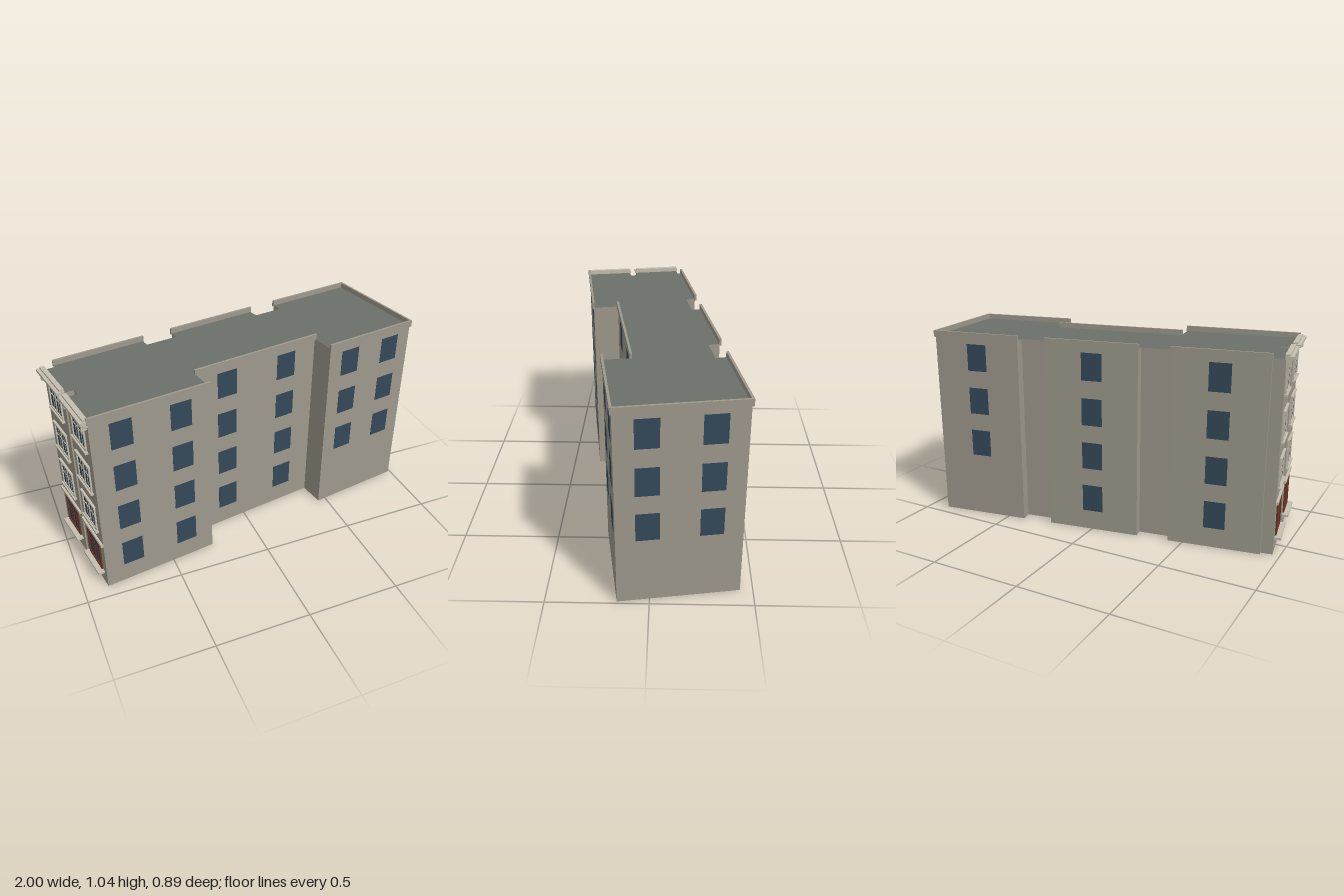
import * as THREE from 'three';

const mat = (color) => new THREE.MeshStandardMaterial({ color });
const WALL = mat(0x9e998c), ROOF = mat(0x6b706a), GLASS = mat(0x34495a);
const STONE = mat(0xc4beae), TIMBER = mat(0x6b3527), FRAME = mat(0xb9b4a6);

// Footprint corners [x, z], running along the front first
const PLAN = [
  [-0.875, 0.43], [-0.265, 0.345], [-0.285, 0.21], [0.43, 0.1], [0.452, 0.238], [0.988, 0.155],
  [0.893, -0.437], [0.406, -0.36], [0.417, -0.303], [0.259, -0.278], [0.243, -0.333],
  [-0.252, -0.252], [-0.245, -0.203], [-0.413, -0.177], [-0.424, -0.225], [-0.905, -0.147],
  [-0.902, -0.128], [-0.962, -0.118], [-0.918, 0.137], [-0.866, 0.128], [-0.858, 0.168], [-0.915, 0.178],
];
const ROOF_Y = 1.017, TOP = 1.045;
const ROWS = [0.18, 0.4225, 0.665, 0.9075]; // window centre heights

// Box spanning x0..x1, y0..y1, z0..z1
function box(parent, name, material, x0, x1, y0, y1, z0, z1) {
  const m = new THREE.Mesh(new THREE.BoxGeometry(x1 - x0, y1 - y0, z1 - z0), material);
  m.position.set((x0 + x1) / 2, (y0 + y1) / 2, (z0 + z1) / 2);
  m.name = name;
  parent.add(m);
  return m;
}

// Group on wall i: x runs along the wall, z points outward
function wallFrame(root, i, name) {
  const [ax, az] = PLAN[i], [bx, bz] = PLAN[(i + 1) % PLAN.length];
  const g = new THREE.Group();
  g.name = name;
  g.position.set(ax, 0, az);
  g.rotation.y = Math.atan2(-(bz - az), bx - ax);
  root.add(g);
  return [g, Math.hypot(bx - ax, bz - az)];
}

// Four-sided surround around an opening
function surround(g, name, material, x0, x1, y0, y1, t, depth) {
  box(g, name, material, x0 - t, x0, y0, y1, 0, depth);
  box(g, name, material, x1, x1 + t, y0, y1, 0, depth);
  box(g, name, material, x0 - t, x1 + t, y1, y1 + t, 0, depth);
  box(g, name, material, x0 - t, x1 + t, y0 - t, y0, 0, depth);
}

// Street facade: one ornate window per storey, string course and cornice
function streetFacade(root, i) {
  const [g, len] = wallFrame(root, i, 'streetFacade');
  const c = len / 2, hw = 0.07;
  ROWS.forEach((y, row) => {
    const ground = row === 0;
    const y0 = ground ? 0.095 : y - 0.065, y1 = ground ? 0.25 : y + 0.065;
    box(g, 'streetWindow', GLASS, c - hw, c + hw, y0, y1, -0.002, 0.002);
    surround(g, 'windowSurround', ground ? TIMBER : STONE, c - hw, c + hw, y0, y1, 0.01, 0.008);
    // mullion and glazing bars
    const bar = ground ? TIMBER : FRAME;
    box(g, 'mullion', bar, c - 0.006, c + 0.006, y0, y1, 0, 0.006);
    for (const s of [-1, 1]) {
      const x = c + s * hw / 2;
      box(g, 'glazingBar', bar, x - 0.002, x + 0.002, y0, y1, 0, 0.004);
    }
    const ty = y0 + (y1 - y0) * 0.6;
    box(g, 'transom', bar, c - hw, c + hw, ty - 0.003, ty + 0.003, 0, 0.005);
    if (ground) {
      box(g, 'groundSill', STONE, c - 0.1, c + 0.1, 0.07, 0.082, 0, 0.034);
    } else {
      box(g, 'windowSill', STONE, c - 0.09, c + 0.09, y0 - 0.018, y0 - 0.008, 0, 0.016);
      box(g, 'windowHood', STONE, c - 0.085, c + 0.085, y1 + 0.008, y1 + 0.018, 0, 0.012);
    }
  });
  box(g, 'stringCourse', STONE, 0, len, 0.272, 0.288, 0, 0.012);
  // stepped cornice with brackets
  box(g, 'corniceLower', STONE, 0, len, 0.993, 1.003, 0, 0.014);
  box(g, 'corniceBed', STONE, 0, len, 1.003, 1.016, 0, 0.022);
  box(g, 'corniceSlab', STONE, -0.006, len + 0.006, 1.016, 1.03, -0.004, 0.037);
  box(g, 'corniceBlocking', STONE, 0, len, 1.03, 1.04, -0.004, 0.02);
  for (const x of [0.02, len - 0.02]) box(g, 'corniceBracket', STONE, x - 0.008, x + 0.008, 0.975, 1.016, 0, 0.026);
}

export function createModel() {
  const root = new THREE.Group();
  root.name = 'apartmentBuilding';

  // Main block with flat roof
  const shape = new THREE.Shape(PLAN.map(([x, z]) => new THREE.Vector2(x, -z)));
  const geo = new THREE.ExtrudeGeometry(shape, { depth: ROOF_Y, bevelEnabled: false });
  geo.rotateX(-Math.PI / 2);
  const body = new THREE.Mesh(geo, [ROOF, WALL]);
  body.name = 'buildingBody';
  root.add(body);

  // Plain walls: [wall, window positions along it, first storey with windows]
  const walls = [
    [0, [0.25, 0.75], 0], [2, [0.25, 0.75], 0], [4, [0.25, 0.75], 1], [5, [0.25, 0.75], 1],
    [6, [0.5], 1], [10, [0.5], 0], [14, [0.5], 0],
  ];
  for (const [i, spots, first] of walls) {
    const [g, len] = wallFrame(root, i, 'plainWall');
    for (const t of spots) {
      for (const y of ROWS.slice(first)) {
        box(g, 'window', GLASS, t * len - 0.056, t * len + 0.056, y - 0.0735, y + 0.0735, -0.002, 0.0015);
      }
    }
    box(g, 'parapet', WALL, -0.006, len + 0.006, 1.01, TOP, -0.004, 0.008);
  }

  // Street end, split in two by a narrow recess
  streetFacade(root, 17);
  streetFacade(root, 21);
  return root;
}
